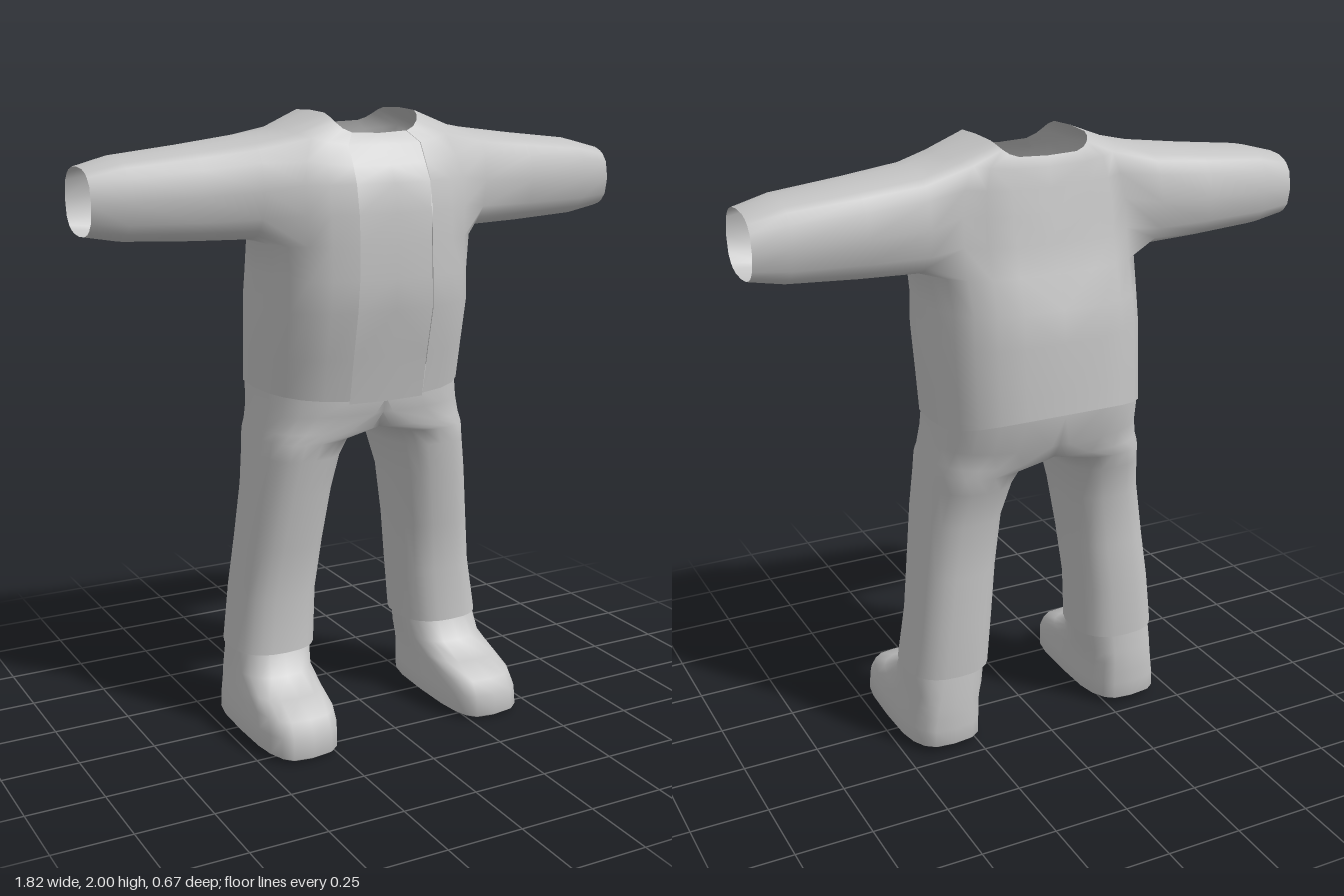
import * as THREE from 'three';
import { mergeVertices } from 'three/addons/utils/BufferGeometryUtils.js';

const cloth = new THREE.MeshStandardMaterial({ color: 0xc4c4c4, side: THREE.DoubleSide });
cloth.name = 'light grey cloth';

const spow = (v, e) => Math.sign(v) * Math.abs(v) ** e;

// Point on a squarish oval ring lying across y; t runs from +x towards +z
function ringPoint({ y, yf = y, yb = y, cx = 0, hx, zf, zb, e }, t) {
  const s = Math.sin(t), c = Math.cos(t);
  const yy = y + ((s > 0 ? yf : yb) - y) * s * s;
  return [cx + hx * spow(c, e), yy, (zf + zb) / 2 + (zf - zb) / 2 * spow(s, e)];
}

// Quad strips between successive loops of equal length
function bridge(loops, quads = []) {
  for (let r = 0; r < loops.length - 1; r++) {
    const n = loops[r].length;
    for (let j = 0; j < n; j++) {
      const k = (j + 1) % n;
      quads.push([loops[r][j], loops[r + 1][j], loops[r + 1][k], loops[r][k]]);
    }
  }
  return quads;
}

// Smooth surface from quads, optionally joined to its mirror image in x
function skin(name, quads, mirrored) {
  const pos = [];
  const tri = (a, b, c) => pos.push(...a, ...b, ...c);
  const flip = ([x, y, z]) => [-x, y, z];
  for (const [a, b, c, d] of quads) {
    tri(a, b, c);
    tri(a, c, d);
    if (mirrored) {
      const [p, q, r, s] = [a, b, c, d].map(flip);
      tri(p, r, q);
      tri(p, s, r);
    }
  }
  const raw = new THREE.BufferGeometry();
  raw.setAttribute('position', new THREE.Float32BufferAttribute(pos, 3));
  const geo = mergeVertices(raw, 1e-4);
  geo.computeVertexNormals();
  const mesh = new THREE.Mesh(geo, cloth);
  mesh.name = name;
  return mesh;
}

// Jacket body rows from hem to neck
const bodyRows = [
  { y: 1.13, yf: 1.11, yb: 1.175, hx: 0.348, zf: 0.19, zb: -0.332, e: 0.72 },
  { y: 1.25, hx: 0.35, zf: 0.217, zb: -0.328, e: 0.72 },
  { y: 1.4, hx: 0.353, zf: 0.25, zb: -0.32, e: 0.72 },
  { y: 1.5, hx: 0.35, zf: 0.254, zb: -0.31, e: 0.74 },
  { y: 1.605, hx: 0.358, zf: 0.252, zb: -0.275, e: 0.77 },
  { y: 1.7, hx: 0.36, zf: 0.247, zb: -0.252, e: 0.77 },
  { y: 1.79, hx: 0.355, zf: 0.232, zb: -0.236, e: 0.75 },
  { y: 1.875, yf: 1.84, yb: 1.86, hx: 0.335, zf: 0.205, zb: -0.22, e: 0.72 },
  { y: 1.95, yf: 1.9, yb: 1.92, hx: 0.29, zf: 0.17, zb: -0.208, e: 0.62 },
  { y: 2.0, yf: 1.933, yb: 1.95, hx: 0.16, zf: 0.133, zb: -0.195, e: 0.38 },
];
const COLS = 24, HOLE = 3, HOLE_LOW = 4, HOLE_TOP = 8;
const bodyPoint = (r, j) => {
  const p = ringPoint(bodyRows[r], (j / COLS) * Math.PI * 2);
  if (Math.abs(j) === 6) p[0] = 0;
  return p;
};

// Left half of the jacket with an armhole, and the sleeve growing out of it
function jacketQuads() {
  const quads = [];
  for (let r = 0; r < bodyRows.length - 1; r++) {
    for (let j = -6; j < 5; j++) {
      if (r >= HOLE_LOW && r < HOLE_TOP && j >= -HOLE && j < HOLE) continue;
      quads.push([bodyPoint(r, j), bodyPoint(r + 1, j), bodyPoint(r + 1, j + 1), bodyPoint(r, j + 1)]);
    }
  }
  // armhole edge, walked from the front upwards
  const edge = [];
  for (let r = HOLE_LOW; r < HOLE_TOP; r++) edge.push([r, HOLE]);
  for (let j = HOLE; j > -HOLE; j--) edge.push([HOLE_TOP, j]);
  for (let r = HOLE_TOP; r > HOLE_LOW; r--) edge.push([r, -HOLE]);
  for (let j = -HOLE; j < HOLE; j++) edge.push([HOLE_LOW, j]);
  const mid = (HOLE_LOW + HOLE_TOP) / 2;
  const angles = edge.map(([r, j]) => Math.atan2((r - mid) / (HOLE_TOP - mid), j / HOLE));
  // x, bottom, top, front, back of each sleeve ring
  const sleeve = [
    [0.39, 1.612, 1.932, 0.135, -0.222],
    [0.58, 1.618, 1.908, 0.118, -0.205],
    [0.8, 1.63, 1.884, 0.1, -0.185],
    [0.91, 1.65, 1.855, 0.08, -0.165],
  ].map(([x, lo, hi, zf, zb]) => angles.map((t) => [
    x,
    (lo + hi) / 2 + (hi - lo) / 2 * spow(Math.sin(t), 0.8),
    (zf + zb) / 2 + (zf - zb) / 2 * spow(Math.cos(t), 0.8),
  ]));
  return bridge([edge.map(([r, j]) => bodyPoint(r, j)), ...sleeve], quads);
}

// Front panel between the jacket edges, set very slightly back
function panelQuads() {
  const quads = [];
  const p = (r, j) => {
    const [x, y, z] = bodyPoint(r, j);
    return [x, r === 0 ? y - 0.01 : y, z - 0.004];
  };
  for (let r = 0; r < bodyRows.length - 1; r++) quads.push([p(r, 5), p(r + 1, 5), p(r + 1, 6), p(r, 6)]);
  return quads;
}

const ringLoop = (row, n) =>
  Array.from({ length: n }, (_, j) => {
    const p = ringPoint(row, (j / n) * Math.PI * 2);
    p[0] = Math.max(0, p[0]);
    return p;
  });

// Trouser leg rows from cuff to waist; the upper rows meet at x = 0
const legRows = [
  { y: 0.268, cx: 0.315, hx: 0.142, zf: 0.085, zb: -0.203, e: 0.8 },
  { y: 0.45, cx: 0.297, hx: 0.137, zf: 0.073, zb: -0.208, e: 0.82 },
  { y: 0.62, cx: 0.277, hx: 0.135, zf: 0.095, zb: -0.203, e: 0.82 },
  { y: 0.8, cx: 0.253, hx: 0.136, zf: 0.122, zb: -0.207, e: 0.82 },
  { y: 0.92, cx: 0.23, hx: 0.141, zf: 0.14, zb: -0.24, e: 0.8 },
  { y: 0.975, cx: 0.212, hx: 0.152, zf: 0.15, zb: -0.258, e: 0.78 },
  { y: 1.005, cx: 0.12, hx: 0.24, zf: 0.156, zb: -0.268, e: 0.76 },
  { y: 1.06, cx: 0.03, hx: 0.322, zf: 0.17, zb: -0.292, e: 0.74 },
  { y: 1.13, yf: 1.11, yb: 1.17, cx: 0, hx: 0.344, zf: 0.183, zb: -0.326, e: 0.72 },
  { y: 1.2, cx: 0, hx: 0.338, zf: 0.18, zb: -0.315, e: 0.72 },
];

// Shoe rows from sole centre to ankle
const shoeRows = [
  { y: 0.012, yf: 0.008, cx: 0.34, hx: 0.001, zf: 0.061, zb: 0.059, e: 1 },
  { y: 0.01, yf: 0, yb: 0.016, cx: 0.34, hx: 0.118, zf: 0.318, zb: -0.198, e: 0.6 },
  { y: 0.022, yf: 0.012, yb: 0.026, cx: 0.34, hx: 0.134, zf: 0.335, zb: -0.21, e: 0.6 },
  { y: 0.08, cx: 0.338, hx: 0.133, zf: 0.33, zb: -0.21, e: 0.6 },
  { y: 0.125, cx: 0.335, hx: 0.13, zf: 0.3, zb: -0.21, e: 0.62 },
  { y: 0.16, cx: 0.332, hx: 0.128, zf: 0.21, zb: -0.208, e: 0.66 },
  { y: 0.2, cx: 0.326, hx: 0.127, zf: 0.112, zb: -0.205, e: 0.72 },
  { y: 0.28, cx: 0.317, hx: 0.131, zf: 0.076, zb: -0.197, e: 0.8 },
];

export function createModel() {
  const model = new THREE.Group();
  model.name = 'outfit';

  model.add(skin('jacket', jacketQuads(), true));
  model.add(skin('frontPanel', panelQuads(), true));

  // trousers, leaving out the hidden wall on the centre plane
  const legs = bridge(legRows.map((row) => ringLoop(row, 24)))
    .filter((q) => q.some((p) => p[0] > 1e-4));
  model.add(skin('trousers', legs, true));

  const shoes = bridge(shoeRows.map((row) => ringLoop(row, 20)));
  model.add(skin('shoes', shoes, true));
  return model;
}
